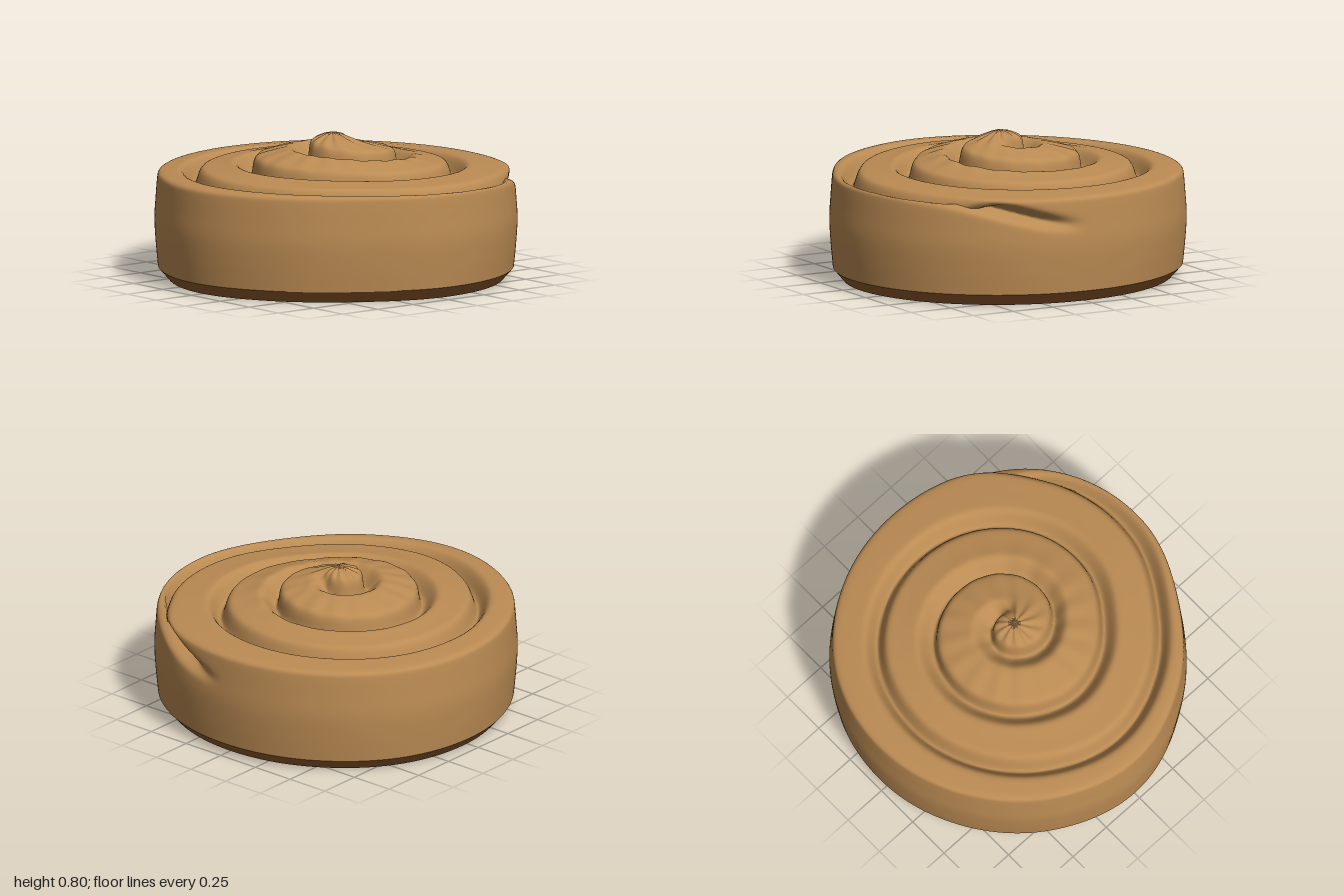
import * as THREE from 'three';

const SEGMENTS = 240;
const ROWS = 150;

// Smooth lookup through evenly spaced values; p is the fractional index
function lookup(values) {
  const curve = new THREE.SplineCurve(values.map((v, i) => new THREE.Vector2(i, v)));
  return (p) => curve.getPoint(THREE.MathUtils.clamp(p / (values.length - 1), 0, 1)).y;
}

// Rounded-triangle outline radius, one value every 30 degrees from +x towards +z
const ring = [0.996, 0.94, 0.96, 0.998, 0.982, 0.976, 0.996, 1.016, 1.004, 0.995, 1.006, 1.016];
const ringAt = lookup([...ring.slice(-2), ...ring, ...ring.slice(0, 3)]);
const outline = (a) => ringAt(a / (Math.PI / 6) + 2);

// Spiral groove: distance from the centre, one value every quarter turn
const spiral = [0.06, 0.14, 0.175, 0.195, 0.3, 0.43, 0.485, 0.505, 0.59, 0.72, 0.768, 0.815, 0.905, 1.02];
const spiralAt = lookup(spiral);

// Groove depth at angle a and distance s along the surface from the centre
function grooveDepth(a, s) {
  const { smoothstep } = THREE.MathUtils;
  let depth = 0;
  for (let turn = 1; turn <= 4; turn++) {
    const q = 4 * turn - a / (Math.PI / 2);
    if (q < 0.4 || q > 13) continue;
    // The last stretch drops over the rim and runs out on the side
    const centre = spiralAt(q) + 0.13 * smoothstep(q, 12.4, 13);
    const d = (s - centre) / 0.028;
    const fade = smoothstep(q, 0.4, 1.3) * (1 - smoothstep(q, 12.7, 13));
    depth = Math.max(depth, 0.1 * fade * Math.exp(-d * d * 0.6));
  }
  return depth;
}

// Grid of rings around y, running from the top centre outward and down
function ringSurface(rows, place) {
  const positions = [];
  const index = [];
  for (let i = 0; i < rows; i++) {
    for (let j = 0; j < SEGMENTS; j++) {
      positions.push(...place(i, (j / SEGMENTS) * Math.PI * 2));
      if (i === rows - 1) continue;
      const k = (j + 1) % SEGMENTS;
      const a = i * SEGMENTS + j, b = i * SEGMENTS + k;
      index.push(a, b, a + SEGMENTS, b, b + SEGMENTS, a + SEGMENTS);
    }
  }
  const geometry = new THREE.BufferGeometry();
  geometry.setAttribute('position', new THREE.Float32BufferAttribute(positions, 3));
  geometry.setIndex(index);
  geometry.computeVertexNormals();
  return geometry;
}

export function createModel() {
  const dough = new THREE.MeshStandardMaterial({ name: 'golden dough', color: 0xbb8b53 });
  const crust = new THREE.MeshStandardMaterial({ name: 'baked crust', color: 0x8f5a2c });
  const group = new THREE.Group();
  group.name = 'spiralBun';

  // Domed top, rounded rim and slightly bulging side
  const profile = new THREE.SplineCurve([
    [0, 0.802], [0.05, 0.79], [0.1, 0.77], [0.2, 0.735], [0.3, 0.71], [0.4, 0.682], [0.5, 0.652],
    [0.6, 0.632], [0.7, 0.618], [0.8, 0.608], [0.9, 0.599], [0.955, 0.592], [0.978, 0.58],
    [0.985, 0.55], [0.993, 0.45], [1, 0.33], [0.993, 0.2], [0.98, 0.065],
  ].map(([r, y]) => new THREE.Vector2(r, y)));
  profile.arcLengthDivisions = 800;
  const samples = [];
  for (let i = 0; i < ROWS; i++) {
    const u = i / (ROWS - 1);
    samples.push({ point: profile.getPointAt(u), tangent: profile.getTangentAt(u) });
  }

  const roll = ringSurface(ROWS, (i, a) => {
    const { point, tangent } = samples[i];
    const s = point.x + Math.max(0, 0.592 - point.y);
    const depth = grooveDepth(a, s);
    // Fine radial pleats around the peak
    const pleat = 0.008 * (s / 0.1) * Math.exp(-((s / 0.14) ** 2)) * Math.cos(11 * a + 9 * s)
      + 0.003 * Math.exp(-(((s - 0.38) / 0.12) ** 2)) * Math.cos(17 * a);
    const r = (point.x + (i === 0 ? 0 : tangent.y * depth)) * outline(a);
    return [r * Math.cos(a), point.y + (i === 0 ? 0 : pleat - tangent.x * depth), r * Math.sin(a)];
  });
  const rollMesh = new THREE.Mesh(roll, dough);
  rollMesh.name = 'doughRoll';
  group.add(rollMesh);

  // Bevelled dark edge and flat underside, kept as separate sharp faces
  const addCrust = (name, points) => {
    const mesh = new THREE.Mesh(ringSurface(points.length, (i, a) => {
      const r = points[i][0] * outline(a);
      return [r * Math.cos(a), points[i][1], r * Math.sin(a)];
    }), crust);
    mesh.name = name;
    group.add(mesh);
  };
  addCrust('crustBevel', [[0.98, 0.065], [0.922, 0]]);
  addCrust('crustUnderside', [[0.922, 0], [0, 0]]);

  return group;
}
